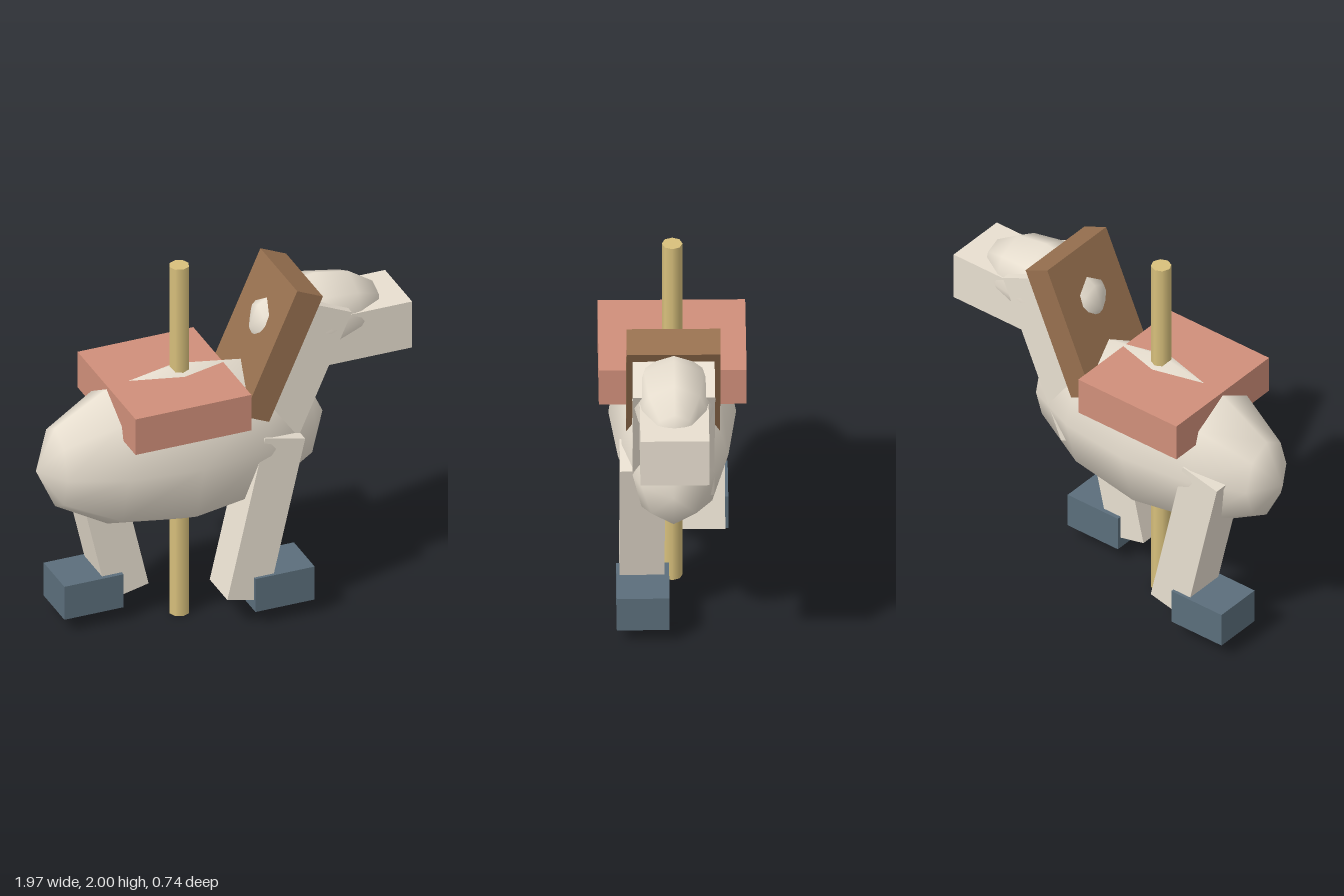
import * as THREE from 'three';

const deg = Math.PI / 180;

export function createModel() {
  const model = new THREE.Group();
  model.name = 'carouselAnimal';

  const paint = (color) => new THREE.MeshStandardMaterial({ color });
  const hide = paint(0xe8dfd0);
  const hair = paint(0x97704f);
  const cloth = paint(0xd08f7a);
  const brass = paint(0xd8c07c);
  const horn = paint(0x5b6e7b);

  const add = (name, geometry, material, x, y, z = 0, tilt = 0) => {
    const mesh = new THREE.Mesh(geometry, material);
    mesh.name = name;
    mesh.position.set(x, y, z);
    mesh.rotation.z = tilt * deg;
    model.add(mesh);
    return mesh;
  };
  const box = (w, h, d) => new THREE.BoxGeometry(w, h, d);
  // Coarse smooth ellipsoid with its poles along x
  const ellipsoid = (rx, ry, rz) =>
    new THREE.SphereGeometry(1, 8, 6).rotateZ(-Math.PI / 2).scale(rx, ry, rz);

  const cx = -0.21; // the pole and body share this axis

  // Trunk, pole and saddle
  add('body', ellipsoid(0.78, 0.45, 0.32), hide, cx, 0.985);
  add('pole', new THREE.CylinderGeometry(0.052, 0.052, 2, 8), brass, cx, 1);
  add('saddle', box(0.63, 0.205, 0.74), cloth, -0.29, 1.29);

  // Neck, mane and head
  add('neck', box(0.3, 0.92, 0.41), hide, 0.318, 1.284, 0, -24);
  add('mane', box(0.153, 0.72, 0.47), hair, 0.256, 1.49, 0, -24);
  add('head', ellipsoid(0.36, 0.235, 0.21), hide, 0.53, 1.555);
  add('muzzle', box(0.455, 0.265, 0.345), hide, 0.757, 1.478);

  // Diagonal pair of legs: front on +z, back on -z
  for (const [name, side] of [['front', 1], ['back', -1]]) {
    add(name + 'Leg', box(0.225, 0.91, 0.225), hide, cx + side * 0.36, 0.591, side * 0.155, side * -13);
    add(name + 'Hoof', box(0.322, 0.19, 0.265), horn, cx + side * 0.455, 0.175, side * 0.152);
  }

  return model;
}
